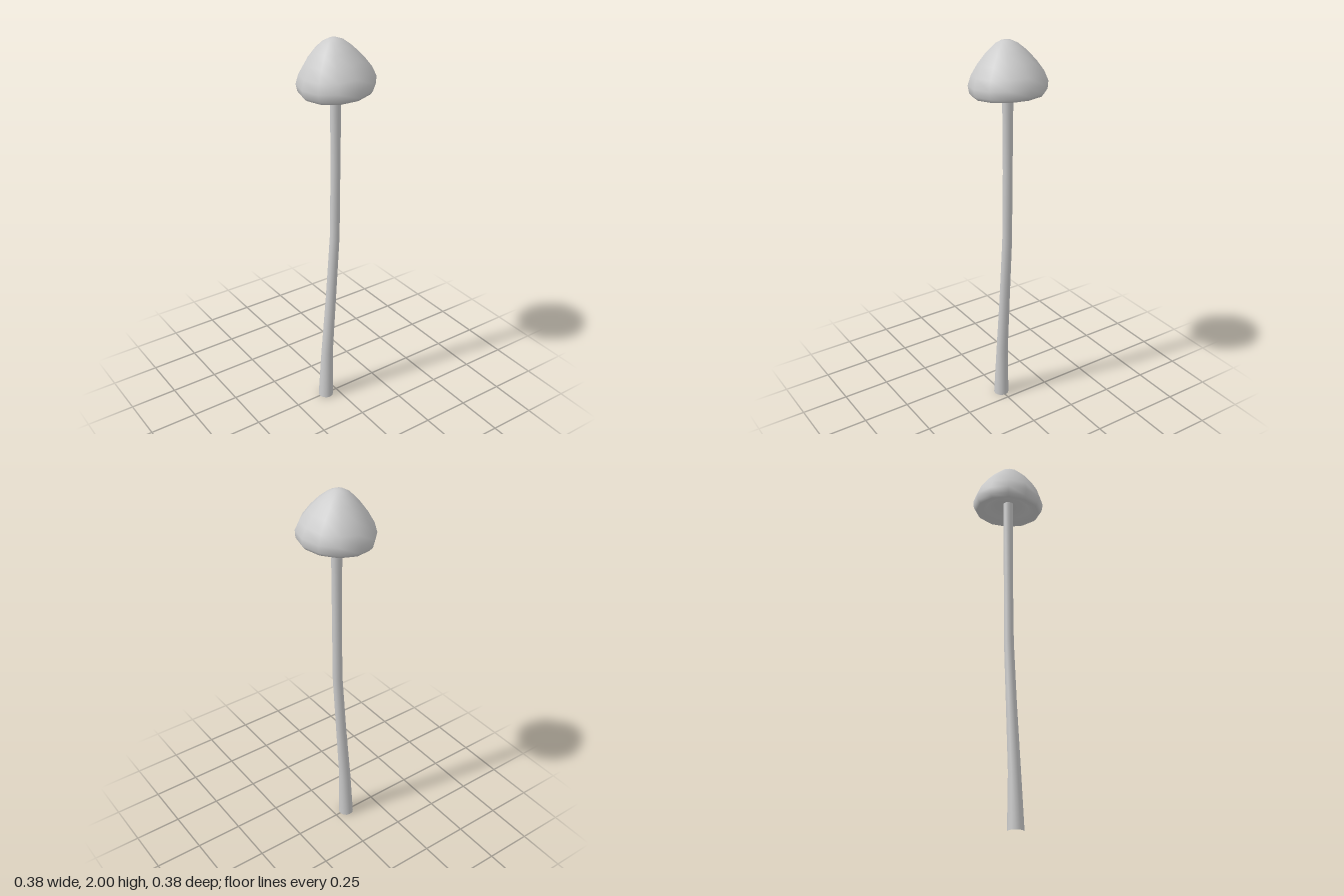
import * as THREE from 'three';
import { mergeVertices } from 'three/addons/utils/BufferGeometryUtils.js';

const SIDES = 12;
const material = new THREE.MeshStandardMaterial({ color: 0xcccccc });

// Weld the lathe seam so shading stays smooth all the way round
function smooth(geometry) {
  geometry.deleteAttribute('uv');
  geometry.deleteAttribute('normal');
  const welded = mergeVertices(geometry, 1e-5);
  welded.computeVertexNormals();
  return welded;
}

function lathe(profile) {
  return new THREE.LatheGeometry(profile.map(([r, y]) => new THREE.Vector2(r, y)), SIDES);
}

// Stem rings: height, radius, sideways offset of the centre
function createStem() {
  const rings = [
    [0, 0.04, -0.068], [0.28, 0.031, -0.058], [0.62, 0.027, -0.032],
    [0.97, 0.025, -0.008], [1.35, 0.024, -0.003], [1.79, 0.027, -0.002],
  ];
  const geometry = lathe(rings.map(([y, r]) => [r, y]));
  const pos = geometry.attributes.position;
  // Bend the stem by sliding each ring along x
  for (let i = 0; i < pos.count; i++) {
    pos.setX(i, pos.getX(i) + rings[i % rings.length][2]);
  }
  const stem = new THREE.Mesh(smooth(geometry), material);
  stem.name = 'stem';
  return stem;
}

// Bell-shaped cap with a rolled rim and hollow underside
function createCap() {
  const profile = [
    [0, 0.045], [0.075, 0.04], [0.115, 0.018], [0.14, 0], [0.17, -0.004],
    [0.184, 0.013], [0.189, 0.05], [0.172, 0.097], [0.137, 0.15],
    [0.094, 0.2], [0.055, 0.234], [0.025, 0.249], [0, 0.251],
  ];
  const cap = new THREE.Mesh(smooth(lathe(profile)), material);
  cap.name = 'cap';
  cap.position.set(0.005, 1.75, 0);
  cap.rotation.z = 0.09;
  return cap;
}

export function createModel() {
  const mushroom = new THREE.Group();
  mushroom.name = 'mushroom';
  mushroom.add(createStem(), createCap());
  return mushroom;
}
